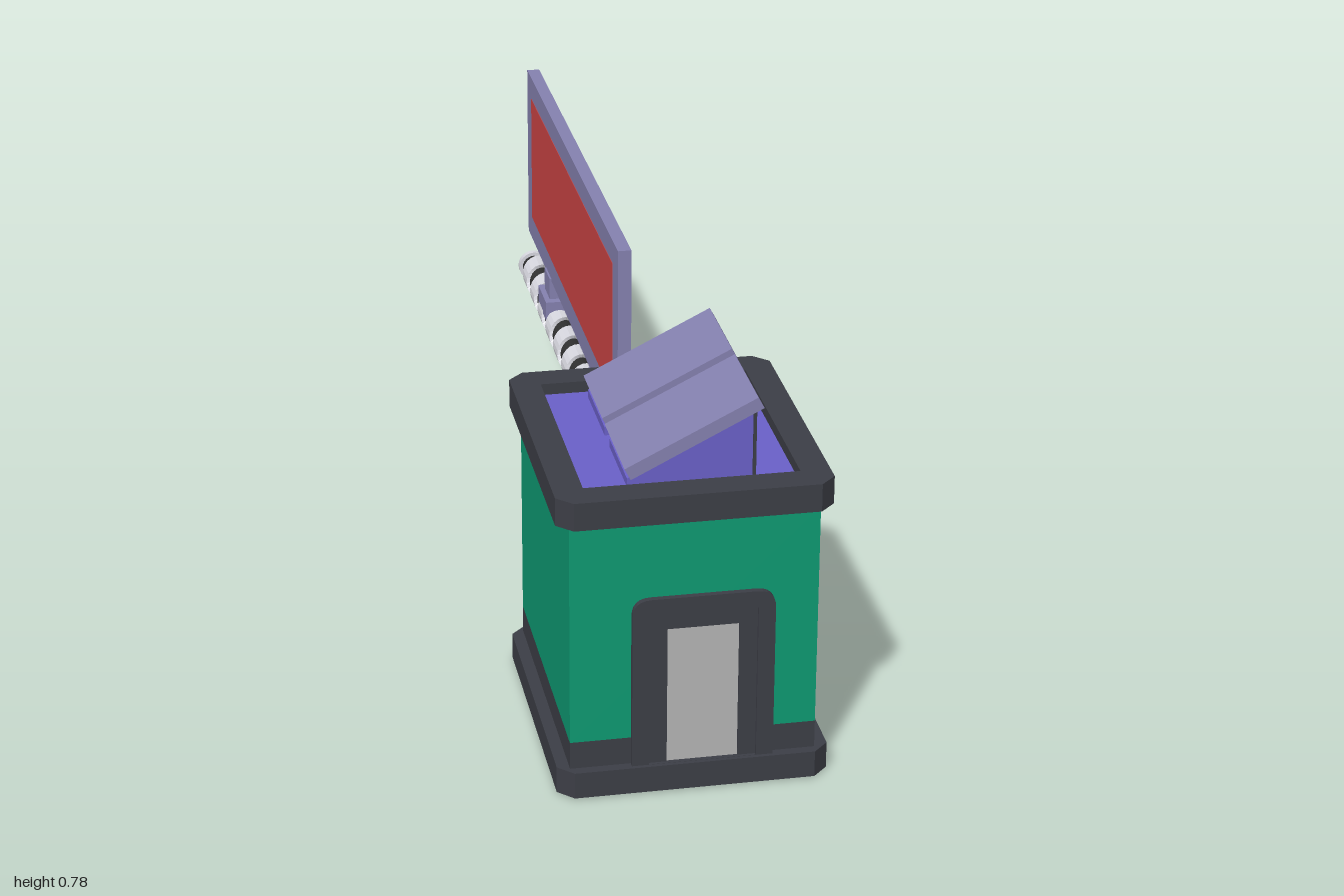
import * as THREE from 'three';

const mat = (color) => new THREE.MeshStandardMaterial({ color });
const GREEN = mat(0x0e9a72), DARK = mat(0x3c3e46), PURPLE = mat(0x6a60c8), LILAC = mat(0x8581b0),
  RED = mat(0xcc4545), GLASS = mat(0xb4b4b4), PALE = mat(0xd8d8e0), CORE = mat(0x303030);

function add(parent, name, geometry, material) {
  const mesh = new THREE.Mesh(geometry, material);
  mesh.name = name;
  parent.add(mesh);
  return mesh;
}

// Box given by its limits on each axis
function box(x0, x1, y0, y1, z0, z1) {
  return new THREE.BoxGeometry(x1 - x0, y1 - y0, z1 - z0)
    .translate((x0 + x1) / 2, (y0 + y1) / 2, (z0 + z1) / 2);
}

const polygon = (points) => new THREE.Shape(points.map(([x, y]) => new THREE.Vector2(x, y)));
const extrude = (shape, depth) =>
  new THREE.ExtrudeGeometry(shape, { depth, bevelEnabled: false, curveSegments: 6 });

// Centred rectangle with cut corners
function cutRect(w, h, c) {
  const a = w / 2, b = h / 2;
  return polygon([[-a + c, -b], [a - c, -b], [a, -b + c], [a, b - c],
    [a - c, b], [-a + c, b], [-a, b - c], [-a, -b + c]]);
}
const rect = (w, h) => polygon([[-w / 2, -h / 2], [w / 2, -h / 2], [w / 2, h / 2], [-w / 2, h / 2]]);

// Door outline with rounded upper corners
function doorway(x0, x1, y0, y1, r) {
  const s = new THREE.Shape();
  s.moveTo(x0, y0);
  s.lineTo(x1, y0);
  s.lineTo(x1, y1 - r);
  s.quadraticCurveTo(x1, y1, x1 - r, y1);
  s.lineTo(x0 + r, y1);
  s.quadraticCurveTo(x0, y1, x0, y1 - r);
  s.closePath();
  return s;
}

const upright = (shape, y0, y1) => extrude(shape, y1 - y0).rotateX(-Math.PI / 2).translate(0, y0, 0);
const sideways = (shape, x0, x1) => extrude(shape, x1 - x0).rotateY(Math.PI / 2).translate(x0, 0, 0);

function makeBooth() {
  const booth = new THREE.Group();
  booth.name = 'booth';
  const cx = -0.0045, cz = 0.7;

  // Body
  add(booth, 'underside', upright(cutRect(0.515, 0.59, 0.03), 0, 0.01).translate(cx, 0, cz), PURPLE);
  add(booth, 'baseSlab', upright(cutRect(0.525, 0.6, 0.03), 0.003, 0.057).translate(cx, 0, cz), DARK);
  add(booth, 'skirting', box(-0.243, 0.231, 0.057, 0.113, 0.42, 0.98), DARK);
  add(booth, 'walls', box(-0.243, 0.231, 0.113, 0.567, 0.42, 0.98), GREEN);
  const rim = cutRect(0.525, 0.6, 0.03);
  rim.holes.push(rect(0.41, 0.475));
  add(booth, 'roofRim', upright(rim, 0.567, 0.623).translate(cx, 0, cz), DARK);
  add(booth, 'roofFloor', box(-0.215, 0.205, 0.567, 0.6, 0.46, 0.94), PURPLE);

  // Door
  const outer = doorway(-0.126, 0.147, 0.057, 0.408, 0.036);
  outer.holes.push(doorway(-0.093, 0.114, 0.0575, 0.374, 0.001));
  add(booth, 'doorFrame', extrude(outer, 0.02).translate(0, 0, 0.972), DARK);
  const inner = doorway(-0.093, 0.114, 0.057, 0.374, 0.001);
  inner.holes.push(doorway(-0.058, 0.079, 0.0575, 0.341, 0.001));
  add(booth, 'doorSurround', extrude(inner, 0.014).translate(0, 0, 0.972), DARK);
  add(booth, 'door', box(-0.058, 0.079, 0.057, 0.341, 0.972, 0.983), GLASS);

  booth.add(makeBayWindow());
  for (const z of [0.81, 0.58]) booth.add(makeSkylight(z));
  return booth;
}

// Bay window: shallow frame, deep sill and head, glass standing out between
function makeBayWindow() {
  const win = new THREE.Group();
  win.name = 'bayWindow';
  const cz = 0.702;
  const frame = cutRect(0.316, 0.32, 0.022);
  frame.holes.push(rect(0.25, 0.25));
  add(win, 'windowFrame', sideways(frame, 0.225, 0.238).translate(0, 0.341, cz), DARK);
  const ledge = polygon([[0.225, -0.142], [0.238, -0.142], [0.265, -0.108],
    [0.265, 0.108], [0.238, 0.142], [0.225, 0.142]]);
  for (const [name, y] of [['windowSill', 0.181], ['windowHead', 0.466]])
    add(win, name, upright(ledge, y, y + 0.035).translate(0, 0, cz), DARK);
  const pane = polygon([[0.225, -0.125], [0.237, -0.125], [0.253, -0.11],
    [0.253, 0.11], [0.237, 0.125], [0.225, 0.125]]);
  add(win, 'windowGlass', upright(pane, 0.216, 0.466).translate(0, 0, cz), GLASS);
  return win;
}

// Wedge-shaped roof light under a sloping panel
function makeSkylight(z) {
  const light = new THREE.Group();
  light.name = 'skylight';
  light.position.z = z;
  const wedge = polygon([[-0.12, 0.6], [0.122, 0.6], [0.122, 0.738], [-0.12, 0.617]]);
  add(light, 'skylightBody', extrude(wedge, 0.18).translate(0, 0, -0.09), PURPLE);
  const panel = polygon([[-0.115, 0.619], [0.136, 0.745], [0.124, 0.767], [-0.127, 0.642]]);
  add(light, 'skylightPanel', extrude(panel, 0.204).translate(0, 0, -0.102), LILAC);
  const border = rect(0.188, 0.138);
  border.holes.push(rect(0.168, 0.118));
  add(light, 'skylightEdge', sideways(border, 0.118, 0.124).translate(0, 0.669, 0), DARK);
  const surround = rect(0.152, 0.058);
  surround.holes.push(rect(0.142, 0.048));
  add(light, 'skylightSurround', sideways(surround, 0.118, 0.124).translate(0, 0.686, 0), DARK);
  add(light, 'skylightGlass', box(0.118, 0.123, 0.662, 0.71, -0.071, 0.071), GLASS);
  return light;
}

// Band of rectangular section wound round the z axis
function spiralBand(z0, length, turns, width, rIn, rOut) {
  const steps = turns * 20, pos = [], index = [];
  const section = [[rIn, 0], [rOut, 0], [rOut, width], [rIn, width]];
  for (let i = 0; i <= steps; i++) {
    const a = (i / steps) * turns * Math.PI * 2;
    for (const [r, dz] of section)
      pos.push(r * Math.cos(a), r * Math.sin(a), z0 + (i / steps) * (length - width) + dz);
    if (i === steps) break;
    for (let k = 0; k < 4; k++) {
      const p = i * 4 + k, q = i * 4 + (k + 1) % 4;
      index.push(p, p + 4, q, q, p + 4, q + 4);
    }
  }
  const e = steps * 4;
  index.push(0, 1, 2, 0, 2, 3, e, e + 2, e + 1, e, e + 3, e + 2);
  const g = new THREE.BufferGeometry();
  g.setAttribute('position', new THREE.Float32BufferAttribute(pos, 3));
  g.setIndex(index);
  const flat = g.toNonIndexed();
  flat.computeVertexNormals();
  return flat;
}

function makeBarrier() {
  const barrier = new THREE.Group();
  barrier.name = 'barrier';
  barrier.position.x = 0.01;
  const rod = (r, z0, z1) => new THREE.CylinderGeometry(r, r, z1 - z0, 24)
    .rotateX(Math.PI / 2).translate(0, 0.28, (z0 + z1) / 2);

  // Post, pivot and striped arm
  add(barrier, 'post', new THREE.CylinderGeometry(0.04, 0.04, 0.26, 24).translate(0, 0.13, 0.303), PALE);
  add(barrier, 'pivot', rod(0.057, 0.26, 0.344), PALE);
  add(barrier, 'armCore', rod(0.027, -0.995, 0.27), CORE);
  const band = add(barrier, 'armStripe', spiralBand(-0.99, 1.25, 11, 0.058, 0.02, 0.035), PALE);
  band.material = PALE.clone();
  band.material.side = THREE.DoubleSide;
  band.position.y = 0.28;
  add(barrier, 'armEnd', rod(0.035, -1, -0.985), PALE);

  // Sign board with a panel on each face
  add(barrier, 'signBoard', box(-0.014, 0.014, 0.38, 0.78, -0.97, 0.185), LILAC);
  for (const s of [-1, 1])
    add(barrier, 'signPanel', box(-0.001, 0.001, 0.435, 0.73, -0.91, 0.125), RED).position.x = s * 0.014;
  for (const z of [-0.1, -0.68]) {
    add(barrier, 'signStem', box(-0.018, 0.018, 0.33, 0.385, z - 0.035, z + 0.035), LILAC);
    add(barrier, 'signClamp', box(-0.03, 0.03, 0.29, 0.335, z - 0.055, z + 0.055), LILAC);
  }
  return barrier;
}

export function createModel() {
  const model = new THREE.Group();
  model.name = 'gateBooth';
  model.add(makeBooth(), makeBarrier());
  return model;
}
